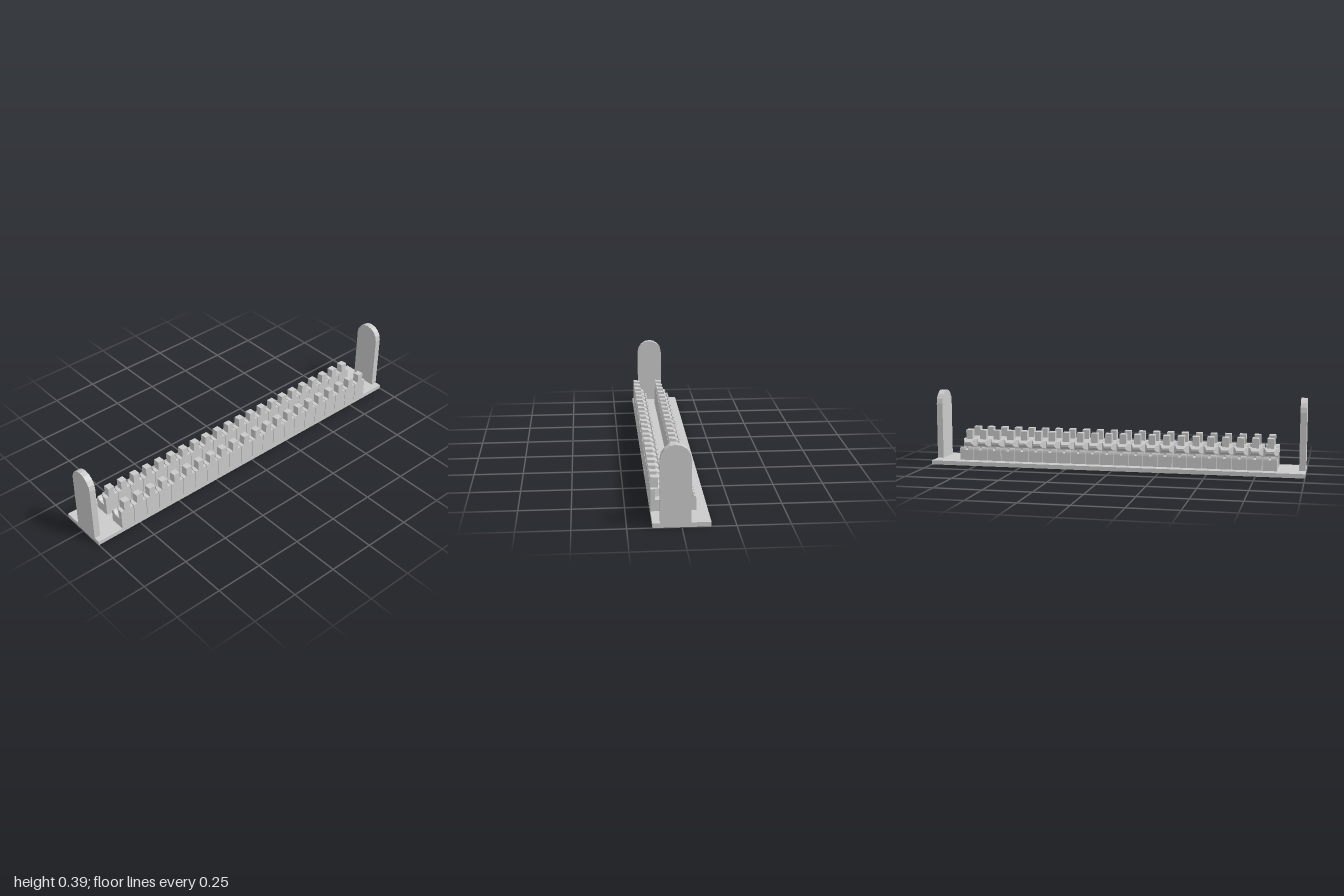
import * as THREE from 'three';

const material = new THREE.MeshStandardMaterial({ color: 0xcccccc, flatShading: true });

// Extrude a side profile of [z, y] points to a width centred on x = 0
function sideExtrude(profile, width) {
  const shape = new THREE.Shape(profile.map(([z, y]) => new THREE.Vector2(z, y)));
  const geometry = new THREE.ExtrudeGeometry(shape, { depth: width, bevelEnabled: false });
  return geometry.rotateY(-Math.PI / 2).translate(width / 2, 0, 0);
}

function addMesh(parent, name, geometry, x = 0, y = 0, z = 0) {
  const mesh = new THREE.Mesh(geometry, material);
  mesh.name = name;
  mesh.position.set(x, y, z);
  parent.add(mesh);
  return mesh;
}

export function createModel() {
  const model = new THREE.Group();
  model.name = 'clipStrip';

  // Flat base board
  addMesh(model, 'baseBoard', new THREE.BoxGeometry(2, 0.022, 0.268), 0, 0.011, 0);

  // Round-topped plate at each end
  const arch = [[-0.043, 0.02], [0.099, 0.02]];
  for (let i = 0; i <= 8; i++) {
    const a = (i / 8) * Math.PI;
    arch.push([0.028 + 0.071 * Math.cos(a), 0.322 + 0.071 * Math.sin(a)]);
  }
  const plate = sideExtrude(arch, 0.033);
  addMesh(model, 'leftEndPlate', plate, 0.9835);
  addMesh(model, 'rightEndPlate', plate, -0.9835);

  // Clip parts, laid out for the front row
  const pitch = 0.078, width = 0.075;
  const body = sideExtrude([
    [0.134, 0.02], [0.134, 0.131], [0.113, 0.131], [0.113, 0.077],
    [0.086, 0.077], [0.052, 0.077], [0.052, 0.02],
  ], width);

  // Rear lip with a curved inner face, in two halves around a middle notch
  const lip = sideExtrude([
    [0.086, 0.077], [0.078, 0.0795], [0.07, 0.085], [0.064, 0.093],
    [0.056, 0.093], [0.053, 0.085], [0.052, 0.077],
  ], 0.031);

  // Upper jaw, tapering in width towards its hooked tip
  const jaw = sideExtrude([
    [0.113, 0.093], [0.113, 0.131], [0.096, 0.131], [0.086, 0.125],
    [0.073, 0.118], [0.073, 0.108], [0.086, 0.098], [0.096, 0.093],
  ], width);
  const p = jaw.attributes.position;
  for (let i = 0; i < p.count; i++) {
    const t = (0.113 - p.getZ(i)) / 0.04;
    p.setX(i, p.getX(i) * (1 - 0.5 * t));
  }
  jaw.computeVertexNormals();

  // Upright tab above the jaw
  const tab = sideExtrude([
    [0.134, 0.13], [0.134, 0.183], [0.098, 0.181], [0.098, 0.13],
  ], 0.035);

  // Two rows of clips
  for (const [rowName, z] of [['frontRow', 0], ['backRow', -0.131]]) {
    const row = new THREE.Group();
    row.name = rowName;
    row.position.z = z;
    for (let i = 0; i < 22; i++) {
      const clip = new THREE.Group();
      clip.name = 'clip';
      clip.position.x = (i - 10.5) * pitch;
      addMesh(clip, 'clipBody', body);
      addMesh(clip, 'leftLip', lip, 0.022);
      addMesh(clip, 'rightLip', lip, -0.022);
      addMesh(clip, 'jaw', jaw);
      addMesh(clip, 'tab', tab);
      row.add(clip);
    }
    model.add(row);
  }
  return model;
}
